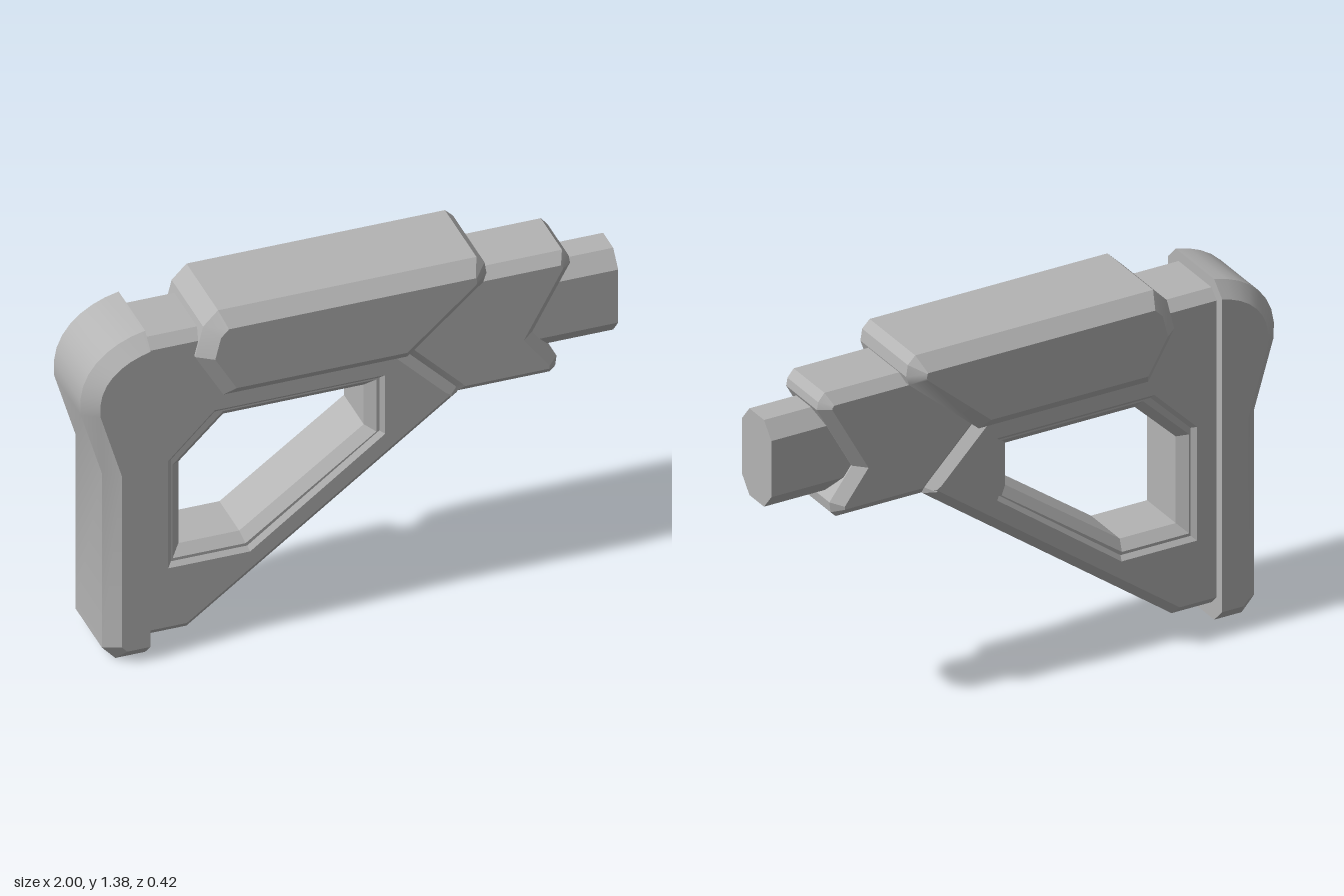
import * as THREE from 'three';
import { toCreasedNormals } from 'three/addons/utils/BufferGeometryUtils.js';

const points = (list) => list.map(([x, y]) => new THREE.Vector2(x, y));

// Side profile extruded across z, chamfered inward so the outline keeps its size
function chamferedPlate(shape, halfWidth, chamfer) {
  const depth = 2 * (halfWidth - chamfer);
  return new THREE.ExtrudeGeometry(shape, {
    depth, curveSegments: 8, bevelEnabled: true, bevelSegments: 1,
    bevelSize: chamfer, bevelThickness: chamfer, bevelOffset: -chamfer,
  }).translate(0, 0, -depth / 2);
}

export function createModel() {
  const group = new THREE.Group();
  const gray = new THREE.MeshStandardMaterial({ color: 0xb4b4b4 });
  gray.name = 'matte gray';

  const add = (name, geometry) => {
    const mesh = new THREE.Mesh(toCreasedNormals(geometry, 0.42), gray);
    mesh.name = name;
    group.add(mesh);
  };

  // Triangular frame with its opening
  const frame = new THREE.Shape(points([
    [-0.85, 0.06], [-0.6, 0.06], [0.4, 0.8], [0.4, 0.825], [0.1, 1.13], [0.1, 1.295], [-0.85, 1.295],
  ]));
  frame.holes.push(new THREE.Path(points([
    [-0.645, 0.375], [-0.39, 0.375], [0.085, 0.73], [0.085, 0.92], [-0.495, 0.92], [-0.645, 0.77],
  ])));
  add('frame', chamferedPlate(frame, 0.148, 0.036));

  // Stepped lining inside the opening
  const lining = new THREE.Shape(points([
    [-0.74, 0.28], [-0.36, 0.28], [0.18, 0.68], [0.18, 1.01], [-0.54, 1.01], [-0.74, 0.81],
  ]));
  lining.holes.push(new THREE.Path(points([
    [-0.625, 0.4], [-0.4, 0.4], [0.06, 0.735], [0.06, 0.9], [-0.46, 0.9], [-0.625, 0.74],
  ])));
  add('openingLining', chamferedPlate(lining, 0.132, 0.034));

  // Notched front housing
  const housing = new THREE.Shape(points([
    [0.05, 1.295], [0.05, 1.12], [0.14, 1.07], [0.38, 0.825], [0.4, 0.8], [0.745, 0.8],
    [0.765, 0.82], [0.77, 0.86], [0.68, 0.98], [0.82, 1.235], [0.815, 1.265], [0.79, 1.295],
  ].reverse()));
  add('frontHousing', chamferedPlate(housing, 0.143, 0.038));

  // Cheek rest
  const cheek = new THREE.Shape(points([
    [-0.48, 1.02], [0.2, 1.02], [0.48, 1.265], [0.492, 1.3], [0.485, 1.345], [0.455, 1.375],
    [-0.5, 1.375], [-0.555, 1.32], [-0.585, 1.2],
  ]));
  add('cheekRest', chamferedPlate(cheek, 0.208, 0.052));

  // Butt pad with a rounded heel, cut flat where it meets the frame
  const cut = -0.76;
  const pad = new THREE.Shape();
  pad.moveTo(-0.7, 0);
  pad.lineTo(-0.7, 1.335);
  pad.lineTo(cut, 1.335);
  pad.bezierCurveTo(-0.9, 1.31, -1.02, 1.21, -0.998, 1.04);
  pad.lineTo(-0.92, 0.78);
  pad.lineTo(-0.92, 0.055);
  pad.lineTo(-0.87, 0);
  const padGeometry = chamferedPlate(pad, 0.185, 0.054);
  const position = padGeometry.attributes.position;
  for (let i = 0; i < position.count; i++) position.setX(i, Math.min(position.getX(i), cut));
  add('buttPad', padGeometry);

  // Eight-sided tenon at the front end
  const tenon = new THREE.Shape(points([
    [-0.05, 0.88], [0.05, 0.88], [0.1, 0.94], [0.1, 1.16], [0.05, 1.22], [-0.05, 1.22], [-0.1, 1.16], [-0.1, 0.94],
  ]));
  add('tenon', new THREE.ExtrudeGeometry(tenon, { depth: 0.5, bevelEnabled: false })
    .rotateY(Math.PI / 2).translate(0.5, 0, 0));

  return group;
}
